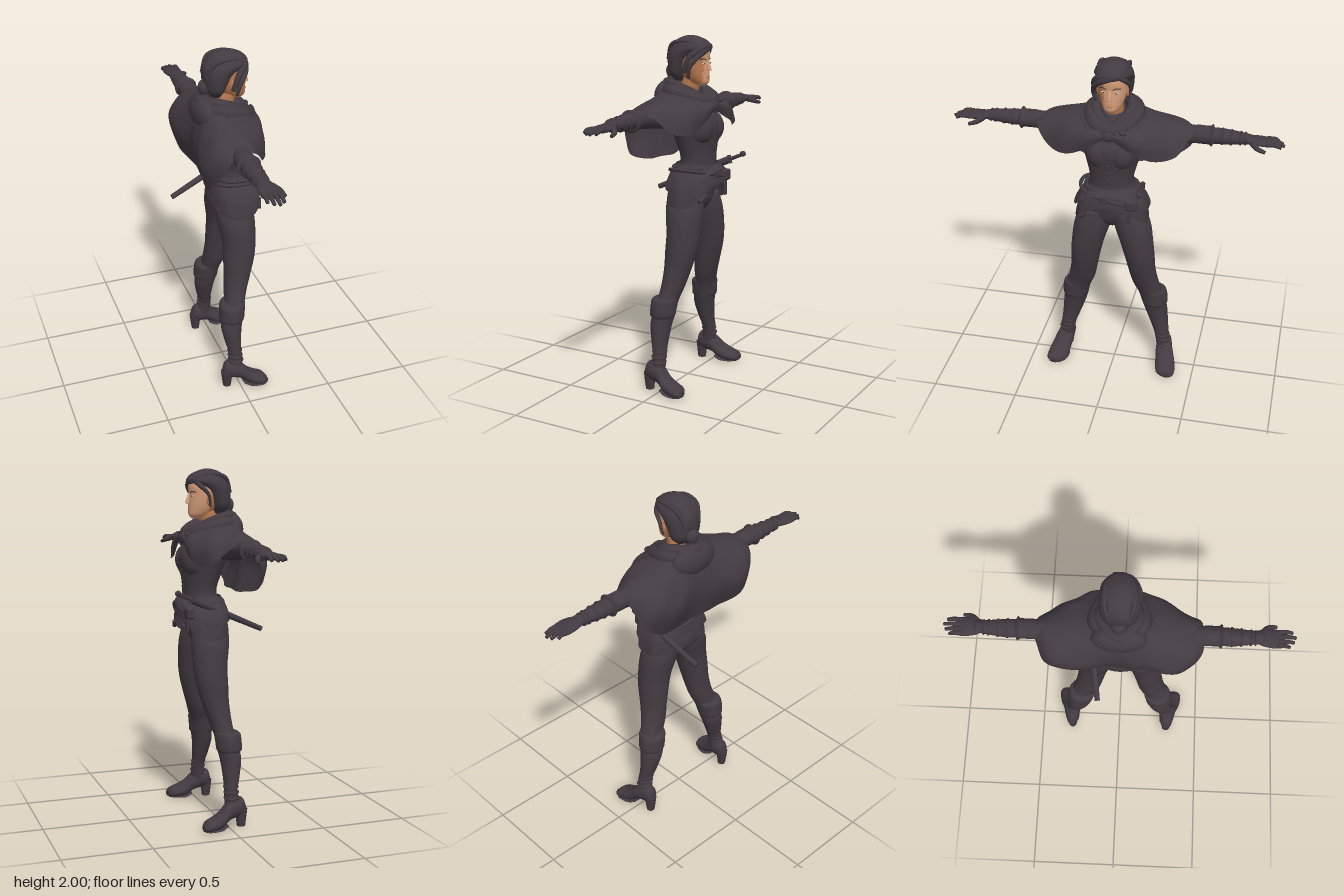
import * as THREE from 'three';
import { RoundedBoxGeometry } from 'three/addons/geometries/RoundedBoxGeometry.js';

const V = (x, y, z) => new THREE.Vector3(x, y, z);
const cloth = new THREE.MeshStandardMaterial({ color: 0x423b41, side: THREE.DoubleSide });
cloth.name = 'dark cloth';
const skin = new THREE.MeshStandardMaterial({ color: 0xd69e79 });
skin.name = 'light skin';
const tanSkin = new THREE.MeshStandardMaterial({ color: 0xb8794f });
tanSkin.name = 'tan skin';
const eyeWhite = new THREE.MeshStandardMaterial({ color: 0xc4b8b0 });
eyeWhite.name = 'eye white';
const lipTone = new THREE.MeshStandardMaterial({ color: 0xb8775c });
lipTone.name = 'lips';

// Smoothly blend rows of numbers at position t in 0..1
function blend(rows, t) {
  const n = rows.length - 1, s = Math.min(t * n, n - 1e-6), i = Math.floor(s), f = s - i;
  const [a, b, c, d] = [i - 1, i, i + 1, i + 2].map(k => rows[Math.max(0, Math.min(n, k))]);
  return b.map((q, k) => 0.5 * (2 * q + (c[k] - a[k]) * f + (2 * a[k] - 5 * q + 4 * c[k] - d[k]) * f * f
    + (3 * q - a[k] - 3 * c[k] + d[k]) * f * f * f));
}

// Surface from fn(u, v); u may wrap around, ends may be capped
function grid(fn, nu, nv, wrap, cap) {
  const pos = [], idx = [], cols = wrap ? nu : nu + 1;
  for (let j = 0; j <= nv; j++)
    for (let i = 0; i < cols; i++) pos.push(...fn(i / nu, j / nv).toArray());
  for (let j = 0; j < nv; j++)
    for (let i = 0; i < nu; i++) {
      const a = j * cols + i, b = j * cols + (i + 1) % cols, c = a + cols, d = b + cols;
      idx.push(a, b, c, b, d, c);
    }
  if (cap) for (const j of [0, nv]) {
    const mid = V(0, 0, 0), o = pos.length / 3;
    for (let i = 0; i < cols; i++) mid.add(V(...pos.slice((j * cols + i) * 3, (j * cols + i) * 3 + 3)));
    pos.push(...mid.divideScalar(cols).toArray());
    for (let i = 0; i < cols; i++) {
      const a = j * cols + i, b = j * cols + (i + 1) % cols;
      if (j === 0) idx.push(o, b, a); else idx.push(o, a, b);
    }
  }
  const g = new THREE.BufferGeometry();
  g.setAttribute('position', new THREE.Float32BufferAttribute(pos, 3));
  g.setIndex(idx);
  g.computeVertexNormals();
  return g;
}

// Oval sections [at, lo1, hi1, lo2, hi2] stacked along one axis
function loft(axis, rows, sides = 28) {
  return grid((u, v) => {
    const [p, a0, a1, b0, b1] = blend(rows, v), t = u * Math.PI * 2;
    const a = (a0 + a1) / 2 + (a1 - a0) / 2 * Math.cos(t);
    const s = axis === 'y' ? -1 : 1, b = (b0 + b1) / 2 + s * (b1 - b0) / 2 * Math.sin(t);
    return axis === 'y' ? V(a, p, b) : axis === 'z' ? V(a, b, p) : V(p, a, b);
  }, sides, (rows.length - 1) * 4, true, true);
}
const bodyLoft = rows => loft('y', rows.map(([y, x0, x1, z]) => [y, x0, x1, -z, z]), 36);

// Two material groups: triangles whose first corner passes the test come second
function twoTone(g, test) {
  const p = g.attributes.position, halves = [[], []], ix = g.index.array;
  for (let i = 0; i < ix.length; i += 3)
    halves[test(p.getX(ix[i]), p.getZ(ix[i])) ? 1 : 0].push(ix[i], ix[i + 1], ix[i + 2]);
  g.setIndex(halves.flat());
  g.addGroup(0, halves[0].length, 0);
  g.addGroup(halves[0].length, halves[1].length, 1);
  return g;
}

function mirrorZ(g) {
  const m = g.clone().scale(1, 1, -1), ix = m.index.array;
  for (let i = 0; i < ix.length; i += 3) [ix[i], ix[i + 1]] = [ix[i + 1], ix[i]];
  m.computeVertexNormals();
  return m;
}

const cord = (pts, r, closed = false) =>
  new THREE.TubeGeometry(new THREE.CatmullRomCurve3(pts.map(p => V(...p)), closed), 48, r, 8, closed);
const blob = (x, y, z, a, b, c) => new THREE.SphereGeometry(1, 20, 14).scale(a, b, c).translate(x, y, z);
const squarish = q => Math.sign(q) * Math.abs(q) ** 0.8;

// Tapered strand
function strand(pts, r0, r1) {
  const curve = new THREE.CatmullRomCurve3(pts.map(p => V(...p))), fr = curve.computeFrenetFrames(20);
  return grid((u, v) => {
    const t = u * Math.PI * 2, r = r0 + (r1 - r0) * v, k = Math.round(v * 20);
    return curve.getPointAt(v).addScaledVector(fr.normals[k], r * Math.cos(t))
      .addScaledVector(fr.binormals[k], r * Math.sin(t));
  }, 10, 20, true, true);
}

function rod(a, b, r0, r1, sides = 14) {
  const p = V(...a), q = V(...b), d = q.clone().sub(p);
  const g = new THREE.CylinderGeometry(r1, r0, d.length(), sides);
  g.applyQuaternion(new THREE.Quaternion().setFromUnitVectors(V(0, 1, 0), d.normalize()));
  return g.translate(...p.add(q).multiplyScalar(0.5).toArray());
}

export function createModel() {
  const model = new THREE.Group();
  const add = (name, g, mat = cloth, parent = model) => {
    const m = new THREE.Mesh(g, mat);
    m.name = name;
    parent.add(m);
  };
  const pair = (name, g, mat = cloth) => { add(name + 'Left', g, mat); add(name + 'Right', mirrorZ(g), mat); };

  // Head and face (the figure faces +x), tanner under the fringe
  add('face', twoTone(bodyLoft([[1.725, .06, .112, .022], [1.745, .01, .13, .046], [1.78, -.03, .131, .065], [1.82, -.05, .13, .077],
    [1.86, -.06, .128, .083], [1.9, -.06, .132, .083], [1.93, -.05, .125, .073], [1.95, -.04, .09, .055]]),
  (x, z) => z > .035 || x < .03), [skin, tanSkin]);
  add('neck', rod([-.015, 1.62, 0], [.03, 1.77, 0], .06, .05, 20), tanSkin);
  add('nose', strand([[.122, 1.862, 0], [.134, 1.83, 0], [.138, 1.808, 0]], .008, .013), skin);
  add('upperLip', blob(.128, 1.775, 0, .007, .004, .02), lipTone);
  add('lowerLip', blob(.127, 1.767, 0, .007, .005, .016), lipTone);
  pair('ear', blob(.035, 1.825, .08, .018, .028, .01), tanSkin);
  pair('eye', blob(.119, 1.849, .036, .006, .005, .015), eyeWhite);
  pair('pupil', blob(.1225, 1.849, .035, .004, .004, .005));
  pair('eyebrow', cord([[.126, 1.868, .016], [.122, 1.875, .036], [.106, 1.871, .056]], .003));

  // Hair with side-swept fringe and low bun
  add('hairCap', bodyLoft([[1.75, -.07, -.01, .05], [1.79, -.1, .01, .088], [1.84, -.11, .035, .1], [1.88, -.113, .062, .104],
    [1.91, -.11, .105, .105], [1.935, -.1, .141, .102], [1.97, -.07, .117, .082], [1.992, -.03, .07, .045], [2, 0, .04, .015]]));
  add('fringe', strand([[.115, 1.94, -.035], [.122, 1.92, .025], [.103, 1.885, .078], [.068, 1.83, .102], [.055, 1.77, .092]], .022, .009));
  add('fringeUpper', strand([[.1, 1.95, -.03], [.11, 1.93, .05], [.06, 1.88, .098], [.03, 1.8, .098]], .024, .012));
  add('sideLock', strand([[.11, 1.94, -.03], [.09, 1.91, -.078], [.045, 1.86, -.096], [.03, 1.79, -.084]], .017, .006));
  for (let i = -3; i <= 3; i++)
    add('hairRidge', cord([[.1, 1.945, i * .02], [.035, 1.982 - Math.abs(i) * .004, i * .025],
      [-.06, 1.953, i * .024], [-.098, 1.87, i * .016]], .012));
  add('bun', blob(-.098, 1.8, 0, .038, .045, .042));
  add('bunTail', blob(-.1, 1.755, 0, .03, .05, .035));

  // Torso and bodice
  add('torso', bodyLoft([[1.015, -.02, .1, .05], [1.07, -.08, .135, .16], [1.15, -.082, .15, .165], [1.24, -.05, .165, .145],
    [1.32, -.025, .163, .123], [1.42, -.055, .172, .145], [1.5, -.085, .184, .165], [1.56, -.1, .165, .165],
    [1.64, -.1, .1, .15], [1.7, -.06, .06, .07]]));
  pair('bust', blob(.092, 1.49, .064, .098, .1, .078));
  pair('bodiceSeam', cord([[.152, 1.24, .05], [.15, 1.32, .05], [.159, 1.4, .056], [.178, 1.45, .064]], .003));
  add('placket', cord([[.165, 1.24, 0], [.16, 1.32, 0], [.169, 1.42, 0], [.18, 1.52, 0]], .005));
  for (let i = 0; i < 5; i++) add('button', blob(.166 + i * .003, 1.3 + i * .045, 0, .006, .007, .011));

  // Jacket skirt with low sides, in two layers
  const skirt = (top, drop, grow) => grid((u, v) => {
    const t = -u * Math.PI * 2, c = squarish(Math.cos(t)), s = squarish(Math.sin(t));
    const hem = 1.09 + drop + .085 * Math.max(0, c) ** 3 - .035 * Math.abs(s) ** 3;
    const f = v ** 1.6, y = hem + (top - hem) * v;
    return V(.06 + c * (.14 + grow - .034 * f), y, s * (.208 + grow - .08 * f) * (1 + .02 * Math.sin(t * 9) * (1 - v)));
  }, 72, 12, true, false);
  add('jacketSkirt', skirt(1.29, 0, 0));
  add('jacketPeplum', skirt(1.28, .08, .007));
  const belt = (y, tilt, rx, rz) => cord([...Array(32)].map((_, i) => {
    const t = i / 32 * Math.PI * 2, z = rz * squarish(Math.sin(t));
    return [.06 + rx * squarish(Math.cos(t)), y + tilt * z, z];
  }), .011, true);
  add('waistBelt', belt(1.265, .06, .115, .146));
  add('swordBelt', belt(1.225, .24, .129, .176));
  add('pouch', new RoundedBoxGeometry(.045, .065, .075, 3, .016).translate(.172, 1.205, -.13));
  add('hangingStrap', new RoundedBoxGeometry(.014, .1, .028, 2, .006).translate(.18, 1.14, -.115));
  add('knife', rod([.165, 1.095, .165], [.185, 1.13, .115], .012, .009));
  add('buckle', new RoundedBoxGeometry(.018, .04, .045, 2, .008).translate(.192, 1.232, .02));

  // Sheathed sword
  const sword = new THREE.Group();
  sword.name = 'sword';
  model.add(sword);
  add('scabbard', rod([-.265, 1.095, -.115], [.17, 1.285, -.178], .015, .022), cloth, sword);
  add('hilt', rod([.17, 1.285, -.178], [.255, 1.322, -.188], .011, .01), cloth, sword);
  add('crossGuard', rod([.182, 1.265, -.176], [.168, 1.31, -.181], .011, .011), cloth, sword);
  add('pommel', blob(.255, 1.325, -.188, .018, .016, .016), cloth, sword);

  // Legs and heeled boots
  pair('leg', loft('y', [[.08, -.08, .02, .265, .35], [.2, -.055, .02, .25, .337], [.28, -.072, .02, .222, .328],
    [.38, -.09, .03, .185, .32], [.45, -.08, .045, .165, .31], [.52, -.06, .055, .148, .297], [.6, -.052, .08, .115, .27],
    [.7, -.045, .112, .093, .252], [.8, -.045, .138, .072, .246], [.9, -.045, .15, .046, .237], [1.02, -.065, .152, .008, .218],
    [1.11, -.072, .14, .005, .17]]));
  pair('bootCuff', loft('y', [[.425, -.085, .038, .18, .312], [.44, -.098, .048, .168, .32], [.48, -.096, .052, .16, .32],
    [.525, -.092, .058, .152, .312], [.54, -.07, .055, .155, .3]]));
  [[.17, .047], [.2, .045], [.23, .044]].forEach(([y, r]) =>
    pair('ankleFold', new THREE.TorusGeometry(r * .85, .007, 8, 24).rotateX(Math.PI / 2).translate(-.02, y, .345 - y * .25)));
  pair('foot', loft('x', [[-.1, .085, .12, .295, .325], [-.075, .06, .17, .265, .345], [0, .045, .155, .262, .365],
    [.05, .012, .105, .268, .385], [.1, 0, .075, .275, .396], [.14, 0, .058, .288, .396], [.162, .005, .035, .32, .378]]));
  pair('heel', new THREE.CylinderGeometry(.036, .024, .1, 14).translate(-.075, .05, .307));
  pair('sole', loft('x', [[.02, .015, .03, .285, .365], [.06, 0, .016, .274, .383], [.12, 0, .014, .284, .394], [.152, 0, .014, .315, .38]]));

  // Arms, gauntlets and hands
  pair('arm', loft('z', [[.1, -.1, .05, 1.52, 1.65], [.2, -.1, .04, 1.5, 1.645], [.35, -.095, .02, 1.515, 1.628],
    [.5, -.09, .012, 1.53, 1.62], [.6, -.09, .008, 1.533, 1.617], [.7, -.077, -.001, 1.543, 1.607], [.76, -.07, 0, 1.553, 1.597]]));
  pair('sleeveCuff', loft('z', [[.43, -.09, .01, 1.53, 1.62], [.46, -.094, .016, 1.526, 1.626], [.52, -.094, .016, 1.525, 1.626],
    [.535, -.106, .026, 1.515, 1.637], [.545, -.08, .01, 1.535, 1.615]]));
  [[.59, .046], [.64, .042], [.69, .037], [.715, .034]].forEach(([z, r]) =>
    pair('gauntletBand', new THREE.TorusGeometry(r, .006, 8, 24).scale(1.06, .9, 1).translate(-.04, 1.575, z)));
  pair('palm', loft('z', [[.72, -.07, 0, 1.555, 1.597], [.76, -.085, .01, 1.553, 1.592], [.81, -.092, .015, 1.55, 1.588],
    [.85, -.09, .012, 1.552, 1.58]]));
  [[-.078, .895], [-.052, .92], [-.025, .93], [.002, .912]].forEach(([x, tip]) =>
    pair('finger', strand([[x * .9 - .004, 1.57, .83], [x, 1.57, .88], [x, 1.558, tip]], .0145, .009)));
  pair('thumb', strand([[-.005, 1.57, .755], [.028, 1.555, .785], [.04, 1.542, .83]], .018, .01));

  // Cape: shoulder and hem lines running from front edge to centre back
  const shoulder = [[.165, 1.64, .02], [.165, 1.63, .12], [.13, 1.63, .2], [.07, 1.645, .26], [-.03, 1.66, .28],
    [-.12, 1.64, .29], [-.172, 1.595, .27], [-.182, 1.57, .18], [-.175, 1.57, .08], [-.17, 1.575, 0]];
  const hem = [[.175, 1.59, .03], [.18, 1.525, .14], [.155, 1.48, .25], [.105, 1.5, .36], [.02, 1.59, .435],
    [-.09, 1.565, .445], [-.16, 1.435, .4], [-.178, 1.345, .295], [-.15, 1.315, .15], [-.14, 1.31, 0]];
  const whole = side => [...side, ...side.slice(0, -1).reverse().map(([x, y, z]) => [x, y, -z])];
  const lines = [whole(shoulder), whole(hem)];
  add('cape', grid((u, v) => {
    const t = u * Math.PI * 2, neck = [Math.cos(t) * .115 - .005, 1.705 - .04 * Math.cos(t), Math.sin(t) * .115];
    const [s, h] = lines.map(l => blend(l, u)), back = Math.max(0, -Math.cos(t));
    const bulge = [.015 * Math.cos(t) - .045 * back * Math.abs(Math.sin(t)), .008, .018 * Math.sin(t) * (1 + back)];
    const mid = s.map((q, k) => (q + h[k]) / 2 + bulge[k]);
    const p = blend([neck, s, mid, h], v), fold = .006 * v * Math.sin(u * Math.PI * 22);
    return V(p[0] + fold * Math.cos(t), p[1] + fold * .4, p[2] + fold * Math.sin(t));
  }, 110, 24, false, false));

  // Draped hood and collar rolls around the neck
  const roll = (name, r, back, side, front) => add(name, cord([back, side, front[0], front[1],
    [front[0][0], front[0][1], -front[0][2]], [side[0], side[1], -side[2]]], r, true));
  roll('hoodRoll', .047, [-.125, 1.685, 0], [-.03, 1.69, .12], [[.1, 1.65, .085], [.125, 1.625, 0]]);
  roll('hoodFold', .034, [-.125, 1.73, 0], [-.02, 1.722, .1], [[.08, 1.675, .065], [.105, 1.64, 0]]);
  roll('lowerFold', .03, [-.145, 1.64, 0], [-.04, 1.66, .17], [[.11, 1.632, .125], [.145, 1.61, 0]]);
  add('hoodDrape', blob(-.108, 1.665, 0, .07, .095, .15));
  add('clasp', blob(.168, 1.617, 0, .022, .034, .045));
  add('claspRim', new THREE.TorusGeometry(.04, .006, 8, 24).scale(1.1, .85, 1).rotateY(Math.PI / 2).translate(.175, 1.617, 0));
  add('brooch', blob(.165, 1.64, -.08, .015, .015, .02));
  return model;
}
